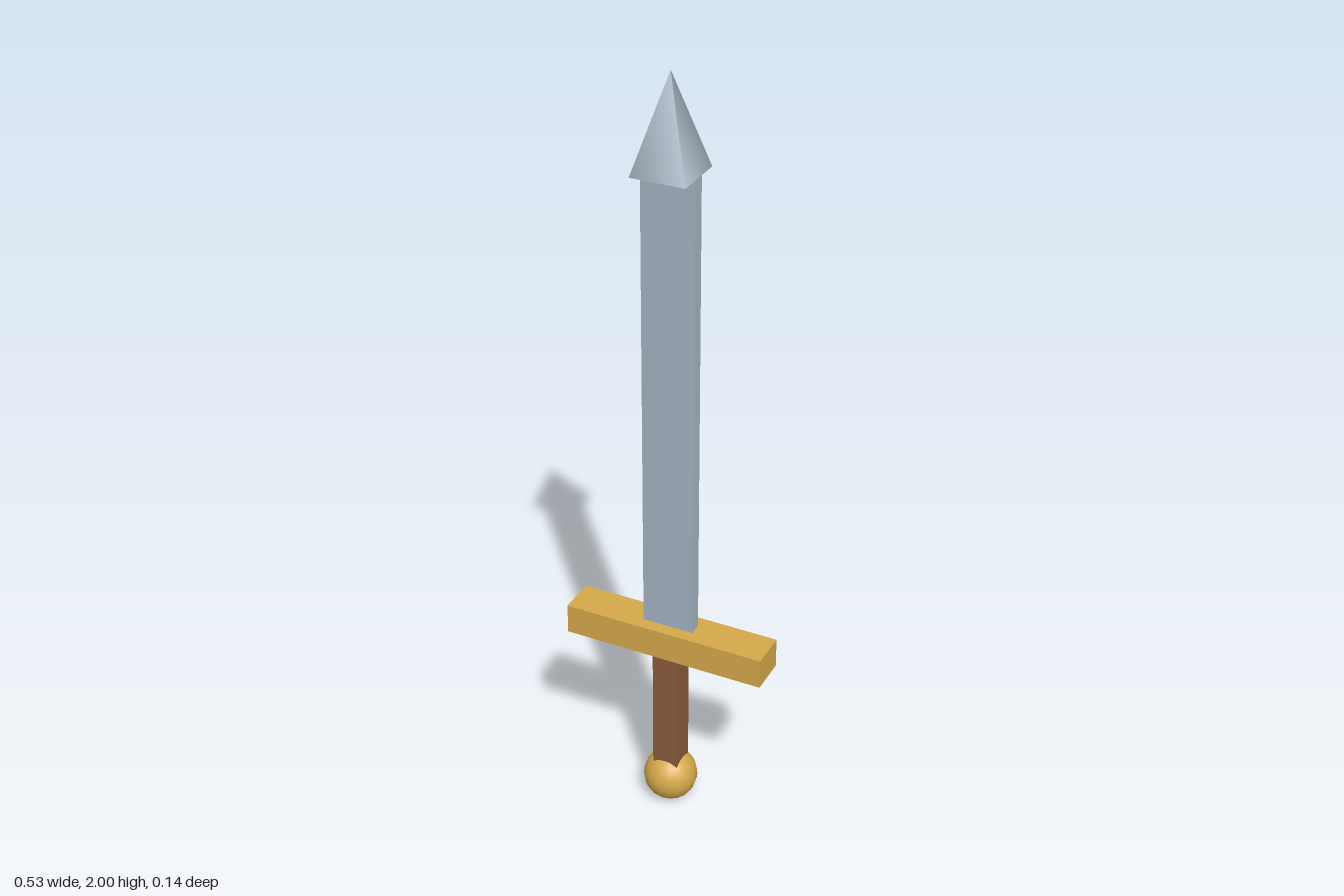
import * as THREE from 'three';

const steel = new THREE.MeshStandardMaterial({ color: 0xa3b3c0 });
const gold = new THREE.MeshStandardMaterial({ color: 0xd4a84b });
const wood = new THREE.MeshStandardMaterial({ color: 0x8b5a3c });

export function createModel() {
  const sword = new THREE.Group();
  sword.name = 'sword';

  const add = (name, geometry, material, y) => {
    const mesh = new THREE.Mesh(geometry, material);
    mesh.name = name;
    mesh.position.y = y;
    sword.add(mesh);
    return mesh;
  };
  // Box standing between two heights
  const addBox = (name, width, depth, bottom, top, material) =>
    add(name, new THREE.BoxGeometry(width, top - bottom, depth), material, (bottom + top) / 2);

  // Hilt
  add('pommel', new THREE.SphereGeometry(0.07, 16, 16), gold, 0.07);
  addBox('grip', 0.068, 0.068, 0.105, 0.474, wood);
  addBox('crossguard', 0.534, 0.1, 0.472, 0.552, gold);

  // Blade with a four-sided, smoothly shaded point
  addBox('blade', 0.135, 0.034, 0.552, 1.765, steel);
  const tip = add('bladeTip', new THREE.ConeGeometry(0.097, 0.235, 4), steel, 1.8825);
  tip.rotation.y = Math.PI / 4;

  return sword;
}
